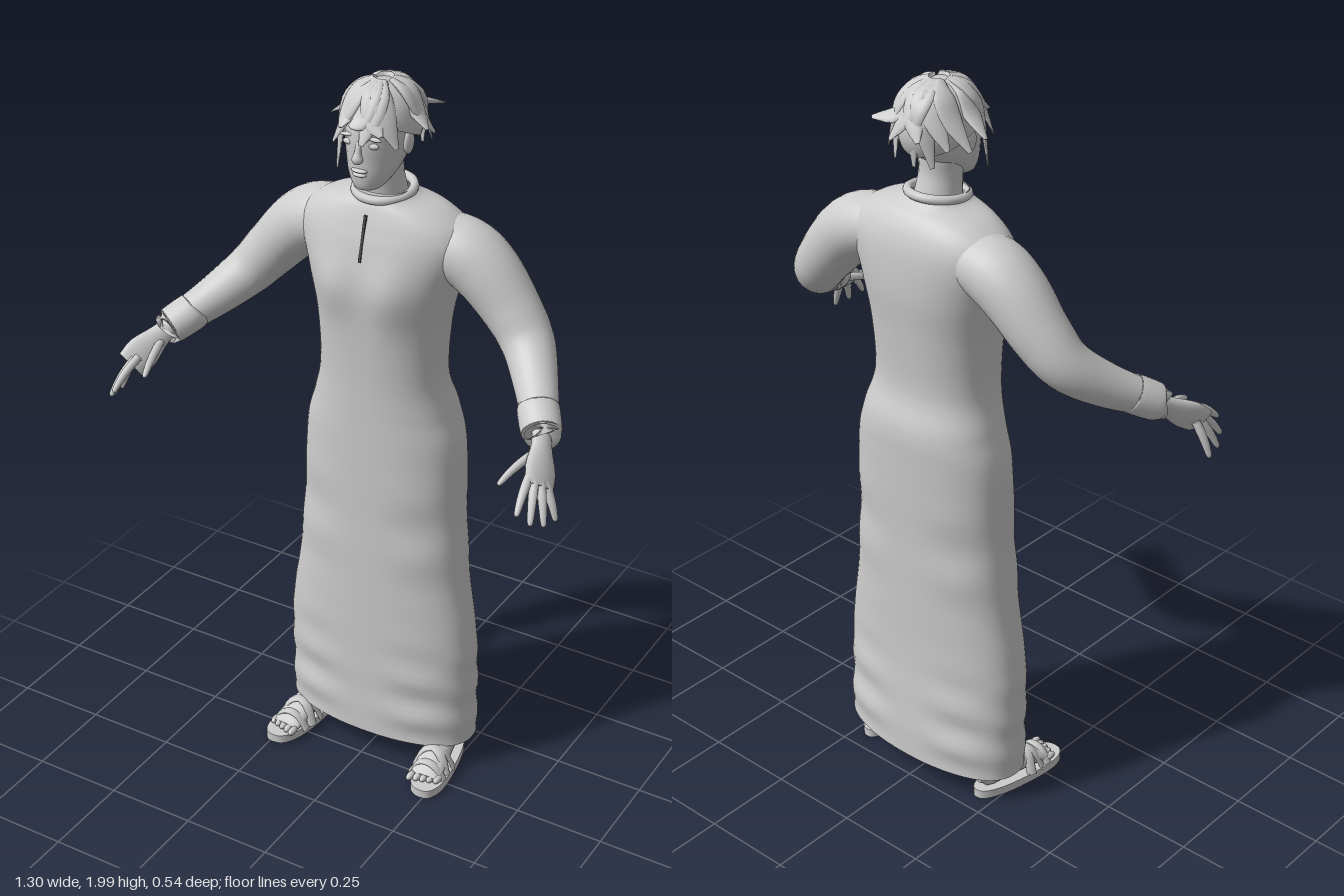
import * as THREE from 'three';

const grey = new THREE.MeshStandardMaterial({ color: 0xcccccc, side: THREE.DoubleSide });
grey.name = 'plain grey';
const dark = new THREE.MeshStandardMaterial({ color: 0x444444 });
dark.name = 'dark slit';

// Smooth skin over cross-sections [x, y, z, sideRadius, upRadius] along a spline
function limb(name, parent, sections, o = {}) {
  const { up = [0, 0, 1], n = 16, steps = 12, power = 2, cap = true, deform } = o;
  const spline = f => new THREE.CatmullRomCurve3(sections.map(f), false, 'catmullrom', 0.5);
  const path = spline(s => new THREE.Vector3(s[0], s[1], s[2]));
  const radii = spline(s => new THREE.Vector3(s[3], s[4], 0));
  const ref = new THREE.Vector3(...up);
  const pos = [], idx = [];
  const round = v => Math.sign(v) * Math.abs(v) ** (2 / power);
  for (let j = 0; j <= steps; j++) {
    const c = path.getPoint(j / steps), r = radii.getPoint(j / steps);
    const T = o.axis ? new THREE.Vector3(...o.axis) : path.getTangent(j / steps);
    const U = ref.clone().addScaledVector(T, -ref.dot(T)).normalize();
    const S = T.clone().cross(U);
    for (let i = 0; i < n; i++) {
      const a = i / n * Math.PI * 2;
      const p = c.clone().addScaledVector(S, r.x * round(Math.sin(a))).addScaledVector(U, r.y * round(Math.cos(a)));
      if (deform) deform(p);
      pos.push(p.x, p.y, p.z);
      if (j < steps) {
        const A = j * n + i, B = j * n + (i + 1) % n;
        idx.push(A, B, A + n, B, B + n, A + n);
      }
    }
  }
  // end caps have their own corners so their rims stay crisp
  if (cap) for (const end of [0, 1]) {
    const c = path.getPoint(end), base = pos.length / 3, from = end * steps * n * 3;
    pos.push(...pos.slice(from, from + n * 3), c.x, c.y, c.z);
    for (let i = 0; i < n; i++) {
      const A = base + i, B = base + (i + 1) % n;
      idx.push(...(end ? [A, B, base + n] : [B, A, base + n]));
    }
  }
  const g = new THREE.BufferGeometry();
  g.setAttribute('position', new THREE.Float32BufferAttribute(pos, 3));
  g.setIndex(idx);
  g.computeVertexNormals();
  return add(name, parent, g);
}

function add(name, parent, geometry, material = grey) {
  const m = new THREE.Mesh(geometry, material);
  m.name = name;
  parent.add(m);
  return m;
}

function ball(name, parent, p, r) {
  const m = add(name, parent, new THREE.SphereGeometry(1, 20, 14));
  m.position.set(...p);
  m.scale.set(...r);
  return m;
}

const bump = (d, w) => Math.exp(-(d * d) / (w * w));

// Chest shape and the soft folds of cloth around the legs
function drape(p) {
  const front = p.z > -0.13 ? 1 : -1, side = bump(Math.abs(p.x) - 0.17, 0.09);
  if (front > 0) p.z += 0.016 * bump(Math.abs(p.x) - 0.085, 0.06) * bump(p.y - 1.46, 0.09);
  p.z += front * 0.007 * side * Math.sin(p.y * 48) * bump(p.y - 0.22, 0.16);
  p.z += front * 0.005 * side * Math.sin(p.y * 30) * bump(p.y - 0.75, 0.15);
  p.x *= 1 + 0.012 * Math.sin(p.y * 55) * bump(p.y - 0.25, 0.15);
}

function robe(parent) {
  // rows: height, half width, front z, back z
  const rows = [
    [0.08, 0.285, 0, -0.265], [0.2, 0.285, 0, -0.262], [0.4, 0.282, 0, -0.252], [0.6, 0.252, 0, -0.255],
    [0.8, 0.236, 0, -0.26], [1.0, 0.226, 0, -0.268], [1.1, 0.2, 0, -0.268], [1.2, 0.175, 0.002, -0.242],
    [1.35, 0.18, 0.01, -0.25], [1.47, 0.205, 0.015, -0.262], [1.57, 0.235, 0, -0.26], [1.625, 0.22, -0.015, -0.248],
    [1.665, 0.165, -0.03, -0.225], [1.69, 0.09, -0.042, -0.195], [1.71, 0.076, -0.047, -0.183],
  ];
  limb('robe', parent, rows.map(([y, w, f, b]) => [0, y, (f + b) / 2, w, (f - b) / 2]),
    { n: 64, steps: 112, power: 2.3, cap: false, axis: [0, 1, 0], deform: drape });

  const collar = add('collar', parent, new THREE.TorusGeometry(0.074, 0.012, 10, 40));
  collar.rotation.x = Math.PI / 2 + 0.12;
  collar.position.set(0, 1.7, -0.115);

  const slit = add('neckSlit', parent, new THREE.BoxGeometry(0.007, 0.12, 0.006), dark);
  slit.position.set(0, 1.598, -0.007);
  slit.rotation.x = -0.25;
}

function arm(parent, s) {
  const g = new THREE.Group();
  g.name = s > 0 ? 'leftArm' : 'rightArm';
  parent.add(g);
  const part = (name, pts, o) => limb(name, g, pts.map(([x, ...r]) => [s * x, ...r]), { up: [0, 1, 0.2], ...o });
  part('sleeve', [
    [0.1, 1.575, -0.14, 0.085, 0.07], [0.2, 1.565, -0.145, 0.092, 0.084], [0.27, 1.525, -0.147, 0.088, 0.084],
    [0.35, 1.44, -0.142, 0.076, 0.075], [0.41, 1.37, -0.12, 0.068, 0.066], [0.47, 1.31, -0.05, 0.057, 0.056],
    [0.535, 1.255, 0.045, 0.045, 0.043]], { n: 28, steps: 36 });
  part('cuff', [[0.508, 1.277, 0.008, 0.046, 0.044], [0.512, 1.273, 0.014, 0.053, 0.05],
    [0.545, 1.245, 0.06, 0.051, 0.048], [0.549, 1.242, 0.066, 0.044, 0.041]], { n: 28 });
  part('palm', [[0.54, 1.25, 0.05, 0.027, 0.02], [0.562, 1.225, 0.09, 0.03, 0.018],
    [0.585, 1.19, 0.14, 0.046, 0.018], [0.602, 1.163, 0.175, 0.042, 0.013]], { up: [0.75, 0.6, 0.1] });
  // knuckle to tip
  const fingers = [
    [[0.578, 1.18, 0.195], [0.59, 1.13, 0.272]], [[0.594, 1.168, 0.19], [0.617, 1.1, 0.25]],
    [[0.607, 1.157, 0.175], [0.636, 1.083, 0.213]], [[0.613, 1.152, 0.155], [0.645, 1.077, 0.166]],
    [[0.548, 1.205, 0.125], [0.518, 1.175, 0.232]],
  ];
  fingers.forEach(([a, b], i) => {
    const at = (t, r, lift = 0) => [...a.map((v, k) => v + (b[k] - v) * t + (k === 1 ? lift : 0)), r, r];
    part(i < 4 ? 'finger' : 'thumb', [at(-0.25, 0.011), at(0.2, 0.0115, 0.006), at(0.6, 0.01, 0.006), at(0.92, 0.007), at(1, 0.002)], { n: 10 });
  });
}

function foot(parent, s) {
  const g = new THREE.Group();
  g.name = s > 0 ? 'leftFoot' : 'rightFoot';
  parent.add(g);
  const part = (name, pts, o) => limb(name, g, pts.map(([x, ...r]) => [s * x, ...r]), o);
  part('leg', [[0.195, 0.05, -0.14, 0.034, 0.042], [0.19, 0.13, -0.14, 0.034, 0.038],
    [0.175, 0.4, -0.15, 0.052, 0.055], [0.15, 0.75, -0.13, 0.06, 0.065]]);
  // sandal sole, slightly turned out and wider at the toes
  part('sole', [[0.222, 0, -0.057, 0.05, 0.147], [0.222, 0.025, -0.057, 0.05, 0.147]], {
    n: 36, steps: 2, power: 2.5, axis: [0, 1, 0],
    deform: p => { const t = p.z + 0.057; p.x = s * 0.222 + (p.x - s * 0.222) * (1 + t * 1.1) + s * t * 0.12; },
  });
  part('footBody', [[0.2, 0.05, -0.192, 0.012, 0.012], [0.2, 0.056, -0.17, 0.034, 0.035],
    [0.21, 0.06, -0.1, 0.036, 0.042], [0.222, 0.048, -0.02, 0.042, 0.028], [0.228, 0.036, 0.03, 0.044, 0.016],
    [0.229, 0.033, 0.045, 0.04, 0.012]], { up: [0, 1, 0] });
  for (let i = 0; i < 5; i++) ball('toe', g, [s * (0.194 + i * 0.018), 0.034, 0.056 - i * 0.006], [0.01, 0.01, 0.02]);
  for (const [z, top, dz] of [[0.015, 0.065, 0], [-0.03, 0.082, -0.02], [-0.03, 0.082, 0.025]]) {
    const x = 0.223 + z * 0.1;
    part('strap', [[x - 0.052, 0.02, z - dz, 0.014, 0.005], [x - 0.03, top - 0.012, z - dz / 2, 0.014, 0.005],
      [x, top, z, 0.014, 0.005], [x + 0.03, top - 0.012, z + dz / 2, 0.014, 0.005], [x + 0.052, 0.02, z + dz, 0.014, 0.005]],
    { up: [0, 1, 0.01], n: 8, axis: null });
  }
  const anklet = add('ankleStrap', g, new THREE.TorusGeometry(0.042, 0.009, 8, 24));
  anklet.position.set(s * 0.197, 0.1, -0.135);
  anklet.rotation.x = Math.PI / 2 + 0.2;
}

function head(parent) {
  const g = new THREE.Group();
  g.name = 'head';
  parent.add(g);
  limb('neck', g, [[0, 1.66, -0.12, 0.064, 0.064], [0, 1.74, -0.105, 0.054, 0.056], [0, 1.8, -0.1, 0.056, 0.06]], { n: 24 });
  // rows: height, half width, front z, back z
  const rows = [[1.728, 0.018, -0.01, -0.05], [1.738, 0.038, 0.003, -0.08], [1.77, 0.059, 0.01, -0.13],
    [1.81, 0.072, 0.012, -0.175], [1.86, 0.08, 0.014, -0.2], [1.91, 0.08, 0.006, -0.205],
    [1.95, 0.066, -0.025, -0.185], [1.975, 0.03, -0.065, -0.14]];
  limb('skull', g, rows.map(([y, w, f, b]) => [0, y, (f + b) / 2, w, (f - b) / 2]), { n: 32, steps: 28, axis: [0, 1, 0] });
  limb('nose', g, [[0, 1.862, 0.008, 0.008, 0.007], [0, 1.835, 0.015, 0.009, 0.01], [0, 1.818, 0.018, 0.015, 0.013], [0, 1.81, 0.014, 0.008, 0.006]]);
  ball('upperLip', g, [0, 1.787, 0.008], [0.023, 0.006, 0.011]);
  ball('lowerLip', g, [0, 1.776, 0.007], [0.02, 0.006, 0.011]);
  for (const s of [1, -1]) {
    ball('eye', g, [s * 0.034, 1.854, 0.001], [0.016, 0.008, 0.008]);
    const brow = ball('brow', g, [s * 0.036, 1.873, 0.002], [0.022, 0.005, 0.008]);
    brow.rotation.z = -s * 0.12;
    ball('ear', g, [s * 0.081, 1.845, -0.09], [0.011, 0.032, 0.02]);
  }
}

function hair(parent) {
  const g = new THREE.Group();
  g.name = 'hair';
  parent.add(g);
  const cap = add('hairCap', g, new THREE.SphereGeometry(1, 32, 20, 0, Math.PI * 2, 0, Math.PI * 0.56));
  cap.scale.set(0.094, 0.105, 0.114);
  cap.position.set(0, 1.88, -0.108);
  cap.rotation.x = -0.42;
  // lock tips, swept from the crown and flicked outward
  const tips = [
    [-0.05, 1.89, 0.014], [0.014, 1.86, 0.026], [0.06, 1.885, 0.008], [-0.02, 1.9, 0.022], [-0.086, 1.765, -0.03],
    [-0.085, 1.84, -0.01], [0.088, 1.85, -0.02], [-0.148, 1.87, -0.11], [-0.135, 1.845, -0.15], [0.132, 1.885, -0.09],
    [0.125, 1.86, -0.14], [0.1, 1.9, -0.235], [-0.1, 1.85, -0.19], [0.09, 1.82, -0.19], [-0.06, 1.8, -0.2],
    [0, 1.79, -0.2], [0.055, 1.8, -0.205], [0.04, 1.86, -0.24], [-0.045, 1.87, -0.235],
  ];
  const centre = new THREE.Vector3(0, 1.87, -0.105);
  tips.forEach((t, i) => {
    const tip = new THREE.Vector3(...t), out = tip.clone().sub(centre);
    const at = (yaw, lift) => {
      const d = new THREE.Vector3(out.x, 0, out.z).normalize().applyAxisAngle(new THREE.Vector3(0, 1, 0), yaw);
      return [d.x * 0.096 * Math.cos(lift), 1.88 + 0.11 * Math.sin(lift), -0.108 + d.z * 0.112 * Math.cos(lift)];
    };
    const yaw = i % 2 ? 0.3 : -0.3;
    limb('lock', g, [[...at(yaw, 1.35), 0.012, 0.006], [...at(yaw, 0.85), 0.028, 0.011],
      [...at(yaw / 2, 0.3), 0.028, 0.01], [...tip.toArray(), 0.006, 0.002]],
    { up: [out.x, 0.08, out.z], n: 10, steps: 12 });
  });
}

export function createModel() {
  const model = new THREE.Group();
  model.name = 'robedFigure';
  robe(model);
  head(model);
  hair(model);
  for (const s of [1, -1]) {
    arm(model, s);
    foot(model, s);
  }
  return model;
}
